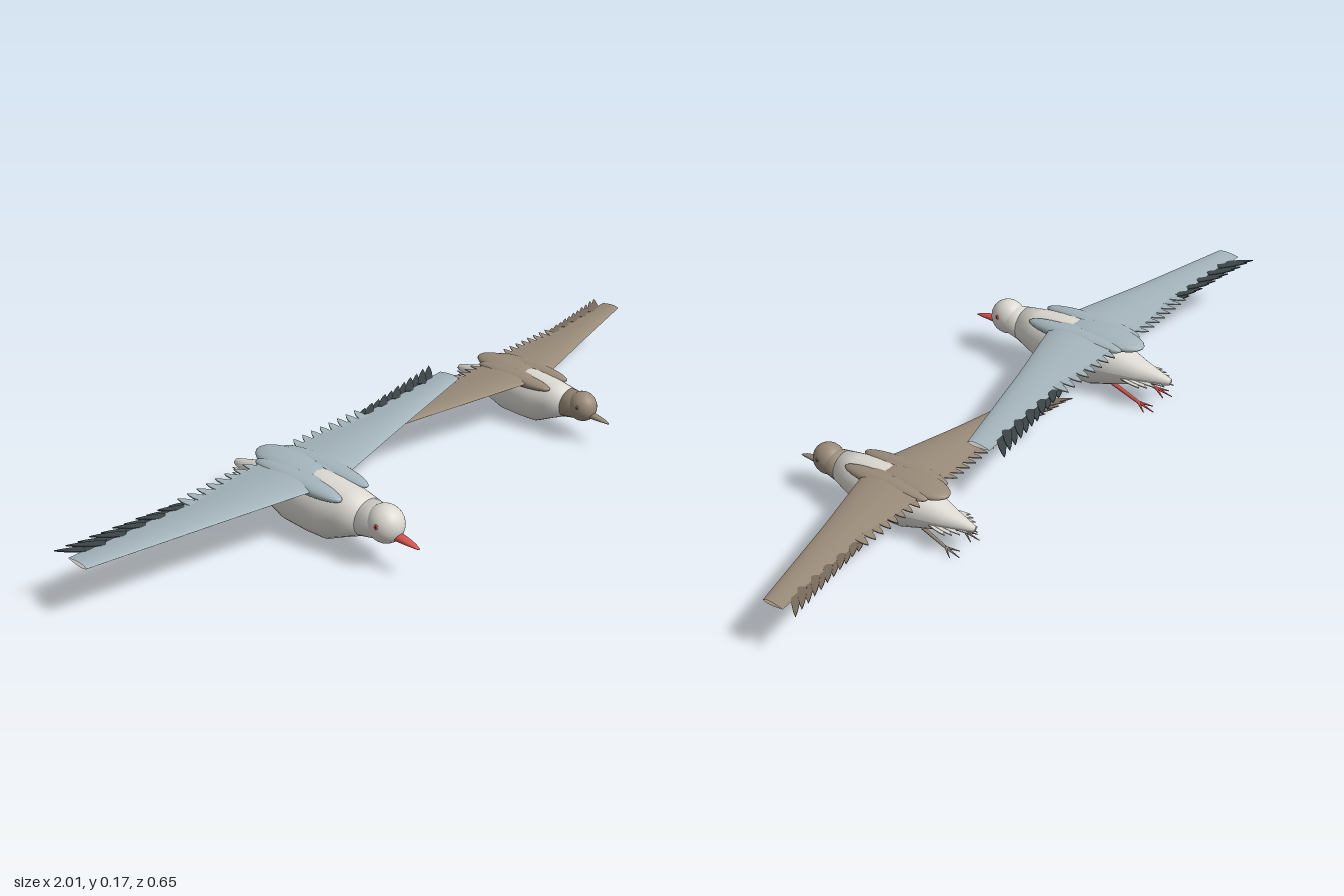
import * as THREE from 'three';

const mat = (name, color, side = THREE.FrontSide) => {
  const m = new THREE.MeshStandardMaterial({ color, side });
  m.name = name;
  return m;
};

function add(group, name, geometry, material) {
  const mesh = new THREE.Mesh(geometry, material);
  mesh.name = name;
  group.add(mesh);
  return mesh;
}

// Skin between equal-length rows of points; flip reverses the winding.
function loft(rows, flip = false) {
  const n = rows[0].length, index = [];
  for (let i = 0; i < rows.length - 1; i++) {
    for (let j = 0; j < n - 1; j++) {
      const a = i * n + j, b = a + 1, c = a + n, d = c + 1;
      if (flip) index.push(a, c, b, b, c, d);
      else index.push(a, b, c, b, d, c);
    }
  }
  const g = new THREE.BufferGeometry();
  g.setAttribute('position', new THREE.Float32BufferAttribute(rows.flat(2), 3));
  g.setIndex(index);
  g.computeVertexNormals();
  return g;
}

// Elliptical cross-section: [z, top, bottom, half width]
function ring([z, top, bottom, rx], n = 28) {
  const row = [];
  for (let j = 0; j <= n; j++) {
    const t = (j / n) * Math.PI * 2;
    row.push([Math.cos(t) * rx, (top + bottom) / 2 + Math.sin(t) * (top - bottom) / 2, z]);
  }
  return row;
}

// Closes a lofted form with points at both ends.
const capped = (s) => {
  const end = ([z, t, b]) => [z, (t + b) / 2, (t + b) / 2, 0];
  return loft([end(s[0]), ...s, end(s[s.length - 1])].map((r) => ring(r)));
};

// Thin pointed feather lying flat, tip towards -z
function featherGeometry(length, width) {
  const s = new THREE.Shape();
  s.moveTo(-width / 2, 0);
  s.lineTo(width / 2, 0);
  s.quadraticCurveTo(width * 0.5, -length * 0.6, 0, -length);
  s.quadraticCurveTo(-width * 0.5, -length * 0.6, -width / 2, 0);
  return new THREE.ExtrudeGeometry(s, { depth: 0.003, bevelEnabled: false, curveSegments: 4 }).rotateX(Math.PI / 2);
}

function feather(group, name, x, y, z, length, width, angle, material) {
  const f = add(group, name, featherGeometry(length, width), material);
  f.position.set(x, y, z);
  f.rotation.y = -angle;
}

function limb(group, name, a, b, r0, r1, material) {
  const p = new THREE.Vector3(...a), d = new THREE.Vector3(...b).sub(p);
  const m = add(group, name, new THREE.CylinderGeometry(r1, r0, d.length(), 8), material);
  m.position.copy(p).addScaledVector(d, 0.5);
  m.quaternion.setFromUnitVectors(new THREE.Vector3(0, 1, 0), d.normalize());
}

function ellipsoid(group, name, pos, scale, material) {
  const m = add(group, name, new THREE.SphereGeometry(1, 28, 18), material);
  m.position.set(...pos);
  m.scale.set(...scale);
}

// Wing stations: [x, leading z, trailing z, y, thickness]
const STATIONS = [
  [0.02, 0.055, -0.158, 0.157, 0.026], [0.07, 0.04, -0.155, 0.157, 0.026],
  [0.3, -0.02, -0.148, 0.153, 0.02], [0.637, -0.1, -0.168, 0.151, 0.012],
];
const trailing = (x) => (x < 0.3 ? -0.155 + (x - 0.07) * 0.03 : -0.148 - (x - 0.3) * 0.06);

function wing(side, c) {
  const g = new THREE.Group();
  g.name = side > 0 ? 'leftWing' : 'rightWing';
  const half = (up) => STATIONS.map(([x, lead, trail, y, t]) => {
    const row = [];
    for (let j = 0; j <= 12; j++) {
      const u = (1 - Math.cos((j / 12) * Math.PI)) / 2;
      const h = Math.sin(Math.PI * Math.pow(u, 0.7)) * t / 2;
      row.push([side * x, y + up * h, lead + (trail - lead) * u]);
    }
    return row;
  });
  add(g, 'upperWing', loft(half(1), side < 0), c.wing);
  add(g, 'underWing', loft(half(-1), side > 0), c.under);
  // short inner feathers
  for (let i = 0; i < 8; i++) {
    const x = 0.075 + i * 0.031;
    feather(g, 'innerFeather', side * x, 0.156, trailing(x) + 0.02, 0.052, 0.026, side * 0.25, c.wing);
  }
  // long swept outer feathers
  for (let i = 0; i < 11; i++) {
    const x = 0.29 + i * 0.028, k = i / 10;
    feather(g, 'outerFeather', side * x, 0.153 + (i % 2) * 0.002, trailing(x) + 0.012,
      0.06 + 0.035 * k, 0.024, side * (0.95 - 0.1 * k), c.tip);
  }
  return g;
}

function bird(name, c) {
  const g = new THREE.Group();
  g.name = name;

  // body and neck share one cross-section
  const join = [0.165, 0.155, 0.058, 0.052];
  add(g, 'body', capped([
    join, [0.11, 0.163, 0.032, 0.065], [0.055, 0.169, 0.004, 0.076], [0, 0.17, 0.002, 0.08],
    [-0.08, 0.163, 0.003, 0.076], [-0.15, 0.14, 0.025, 0.06], [-0.22, 0.113, 0.046, 0.038],
    [-0.308, 0.089, 0.07, 0.01],
  ]), c.body);
  add(g, 'neck', capped([[0.245, 0.128, 0.085, 0.024], [0.225, 0.146, 0.07, 0.038], join]), c.head);
  ellipsoid(g, 'head', [0, 0.113, 0.222], [0.046, 0.05, 0.05], c.head);

  // beak tapering to a lowered tip
  add(g, 'beak', capped([
    [0.255, 0.104, 0.08, 0.015], [0.29, 0.098, 0.082, 0.012],
    [0.315, 0.092, 0.083, 0.008], [0.33, 0.086, 0.083, 0.003],
  ]), c.beak);

  // mantle over the shoulders and back
  ellipsoid(g, 'backMantle', [0, 0.154, -0.095], [0.056, 0.021, 0.125], c.wing);
  for (const s of [-1, 1]) {
    ellipsoid(g, 'shoulder', [s * 0.046, 0.153, -0.03], [0.032, 0.02, 0.15], c.wing);
    g.add(wing(s, c));

    // eye: coloured ring with a dark pupil
    const dir = new THREE.Vector3(s, 0.26, 0.2).normalize();
    const eye = new THREE.Group();
    eye.name = 'eye';
    eye.position.set(dir.x * 0.0462, 0.113 + dir.y * 0.05, 0.222 + dir.z * 0.05);
    eye.quaternion.setFromUnitVectors(new THREE.Vector3(0, 0, 1), dir);
    add(eye, 'iris', new THREE.SphereGeometry(0.0065, 16, 10).scale(1, 1, 0.35), c.iris);
    add(eye, 'pupil', new THREE.SphereGeometry(0.004, 12, 8).scale(1, 1, 0.8), c.pupil);
    g.add(eye);

    // trailing leg and three toes
    const foot = [s * 0.046, 0.015, -0.24];
    limb(g, 'leg', [s * 0.034, 0.038, -0.15], foot, 0.006, 0.0045, c.leg);
    for (const [dx, dz, y] of [[-0.02, -0.035, 0.004], [0.003, -0.05, 0.002], [0.022, -0.03, 0.004]]) {
      limb(g, 'toe', foot, [s * (0.046 + dx), y, -0.24 + dz], 0.004, 0.0012, c.leg);
    }
  }

  // fan of tail feathers
  for (let i = -4; i <= 4; i++) {
    feather(g, 'tailFeather', i * 0.007, 0.075 - Math.abs(i) * 0.001, -0.17,
      0.15 - Math.abs(i) * 0.016, 0.03, i * 0.1, c.body);
  }
  return g;
}

export function createModel() {
  const D = THREE.DoubleSide;
  const white = mat('white', 0xdcd9d2, D), blueGrey = mat('blueGrey', 0xa4b4bb, D);
  const underGrey = mat('underGrey', 0xb4b4b1, D), charcoal = mat('charcoal', 0x3c4549, D);
  const red = mat('red', 0xd4524e), brown = mat('brown', 0x9a8b79, D);
  const darkBrown = mat('darkBrown', 0x7a6d5e, D), tan = mat('tan', 0x928878);
  const black = mat('black', 0x1c1a1a);

  const root = new THREE.Group();
  root.name = 'twoFlyingBirds';
  const large = bird('greyBird', {
    body: white, head: white, wing: blueGrey, under: underGrey, tip: charcoal,
    beak: red, leg: red, iris: red, pupil: black,
  });
  large.position.x = -0.363;
  const small = bird('brownBird', {
    body: white, head: brown, wing: brown, under: brown, tip: darkBrown,
    beak: tan, leg: tan, iris: darkBrown, pupil: black,
  });
  small.scale.setScalar(0.84);
  small.position.x = 0.463;
  root.add(large, small);
  return root;
}
